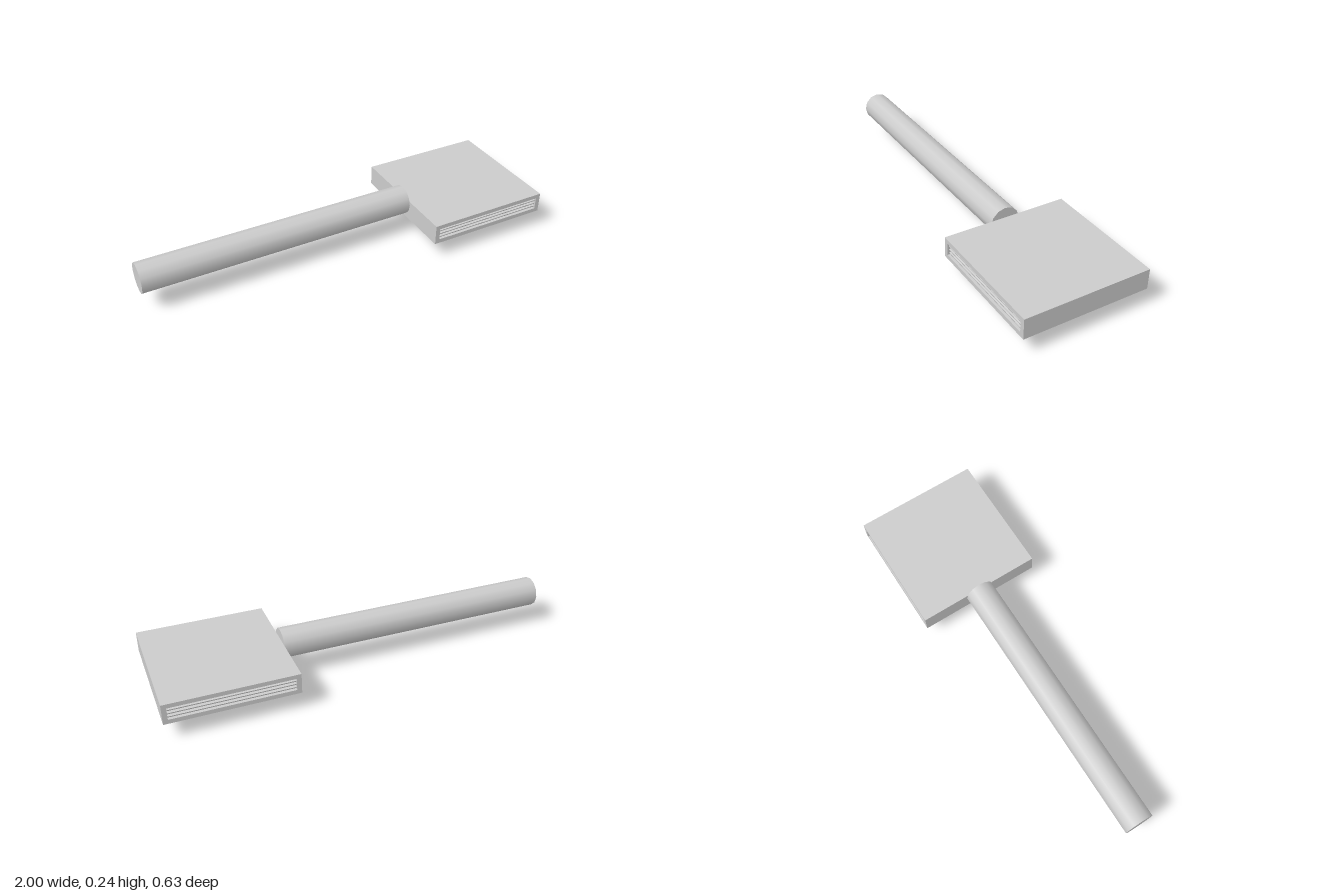
import * as THREE from 'three';

const CX = 0.686;      // centre of the square head
const HALF = 0.313;    // half its width
const Y0 = 0.083, Y1 = 0.185;

export function createModel() {
  const group = new THREE.Group();
  const smooth = new THREE.MeshStandardMaterial({ color: 0xcccccc });
  const flat = new THREE.MeshStandardMaterial({ color: 0xcccccc, flatShading: true, side: THREE.DoubleSide });

  const add = (name, geometry, material, x, y, z) => {
    const mesh = new THREE.Mesh(geometry, material);
    mesh.name = name;
    mesh.position.set(x, y, z);
    group.add(mesh);
    return mesh;
  };

  // Round supply duct running along x
  const r = 0.0735, x0 = -1, x1 = CX - HALF;
  add('duct', new THREE.CylinderGeometry(r, r, x1 - x0, 12), smooth, (x0 + x1) / 2, 0.163, 0)
    .rotation.z = Math.PI / 2;

  // Square plenum box: a solid core with a slotted frame at front and back
  const depth = 0.06, midY = (Y0 + Y1) / 2, height = Y1 - Y0;
  const slotW = 0.29, slotH = 0.03;
  add('plenumCore', new THREE.BoxGeometry(HALF * 2, height, (HALF - depth) * 2), flat, CX, midY, 0);

  const frame = new THREE.Shape();
  frame.moveTo(-HALF, -height / 2).lineTo(HALF, -height / 2).lineTo(HALF, height / 2).lineTo(-HALF, height / 2).closePath();
  const slot = new THREE.Path();
  slot.moveTo(-slotW, -slotH).lineTo(-slotW, slotH).lineTo(slotW, slotH).lineTo(slotW, -slotH).closePath();
  frame.holes.push(slot);
  const frameGeometry = new THREE.ExtrudeGeometry(frame, { depth, bevelEnabled: false });

  for (const side of [1, -1]) {
    add('slotFrame', frameGeometry, flat, CX, midY, side > 0 ? HALF - depth : -HALF);
    // Tilted louvre blades inside the slot
    for (let i = -1; i <= 1; i++) {
      add('louvre', new THREE.BoxGeometry(slotW * 2, 0.006, 0.04), flat, CX, midY + i * 0.017, side * (HALF - 0.028))
        .rotation.x = side * 0.25;
    }
  }

  // Nested square diffuser cones: lip half-width, lip bottom, lip top, inner half-width, inner height
  const tiers = [
    [0.275, 0.057, 0.066, 0.200, 0.083],
    [0.219, 0.039, 0.047, 0.090, 0.083],
    [0.175, 0.019, 0.028, 0.010, 0.083],
    [0.103, 0.000, 0.011, 0.002, 0.047],
  ];
  for (const [w, low, high, inner, top] of tiers) {
    const profile = [
      [inner, top - 0.004], [w - 0.005, high - 0.004], [w - 0.005, low],
      [w, low], [w, high], [inner, top],
    ].map(([x, y]) => new THREE.Vector2(x * Math.SQRT2, y));
    add('diffuserCone', new THREE.LatheGeometry(profile, 4, Math.PI / 4), flat, CX, 0, 0);
  }
  return group;
}
